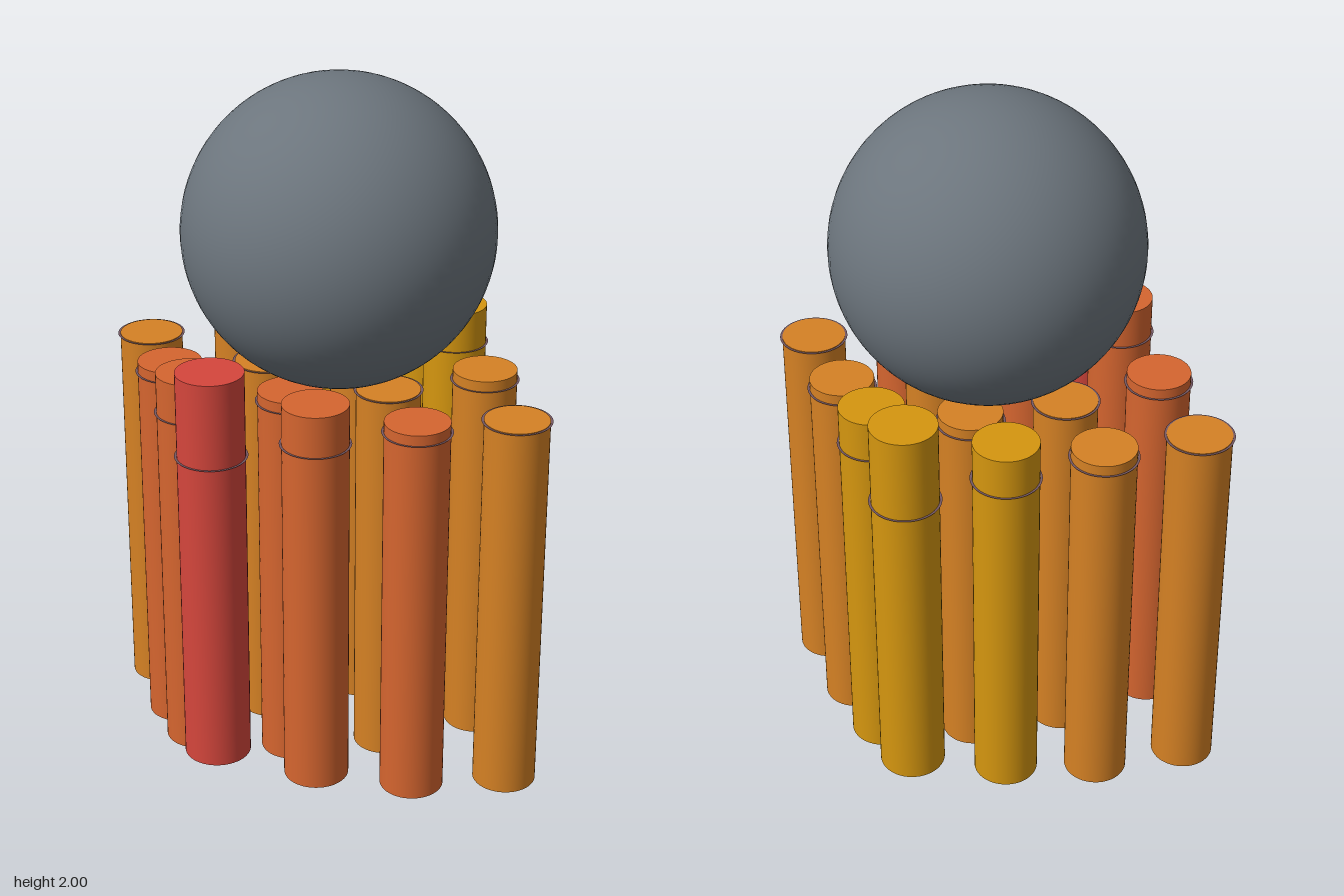
import * as THREE from 'three';

const flat = (name, color, side = THREE.FrontSide) => {
  const m = new THREE.MeshStandardMaterial({ color, side });
  m.name = name;
  return m;
};

export function createModel() {
  const model = new THREE.Group();
  model.name = 'ballOnPillars';

  const red = flat('red', 0xd5463c);
  const vermilion = flat('vermilion', 0xd5652f);
  const orange = flat('orange', 0xd58124);
  const yellow = flat('yellow', 0xd5960f);
  const slate = flat('slate', 0x6c757d);
  const plum = flat('plum', 0x755864, THREE.DoubleSide);

  // Colour and lift depend on the diagonal a pillar stands on
  const colours = [red, vermilion, vermilion, orange, orange, yellow, yellow];
  const lifts = [0.235, 0.113, 0.028, 0, 0.028, 0.113, 0.235];
  const length = 1.136, radius = 0.09, spacing = 0.279;

  const pillarGeo = new THREE.CylinderGeometry(radius, radius, length, 48);
  const collarGeo = new THREE.RingGeometry(radius, 0.0965, 48).rotateX(-Math.PI / 2);

  // Four by four grid of pillars, each with a thin flat collar at one level
  for (let i = 0; i < 4; i++) {
    for (let j = 0; j < 4; j++) {
      const d = i + 3 - j;
      const x = (i - 1.5) * spacing, z = (j - 1.5) * spacing;

      const pillar = new THREE.Mesh(pillarGeo, colours[d]);
      pillar.name = `pillar_${i}_${j}`;
      pillar.position.set(x, lifts[d] + length / 2, z);
      model.add(pillar);

      const collar = new THREE.Mesh(collarGeo, plum);
      collar.name = `collar_${i}_${j}`;
      collar.position.set(x, length - 0.002, z);
      model.add(collar);
    }
  }

  // Ball resting in the hollow of the pillar tops
  const ball = new THREE.Mesh(new THREE.SphereGeometry(0.43, 64, 48), slate);
  ball.name = 'ball';
  ball.position.set(0.027, 1.57, 0.027);
  model.add(ball);

  return model;
}
